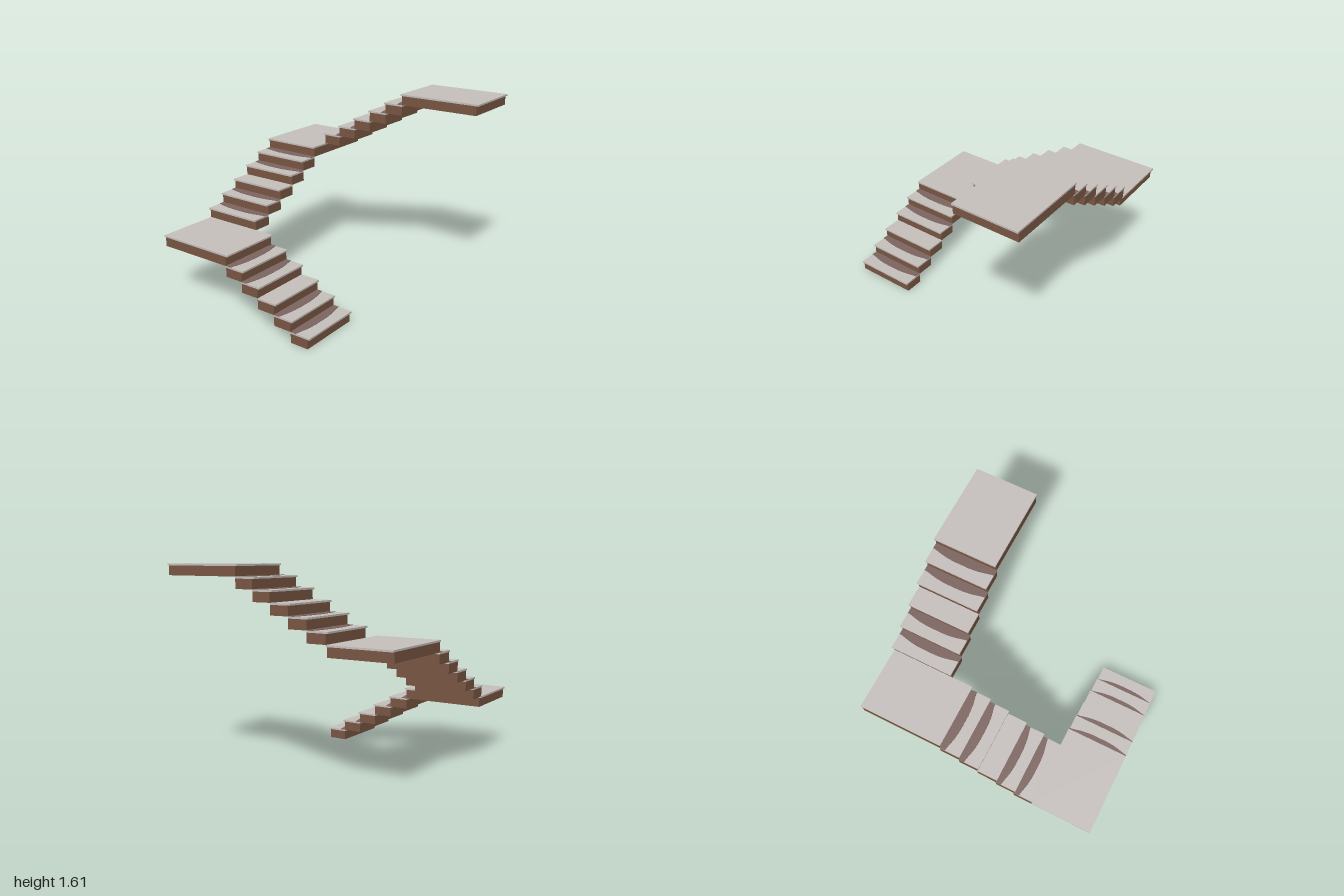
import * as THREE from 'three';

const WIDTH = 0.525, CENTER_X = -0.7375;
const RISE = 0.0895, RUN = 0.158, START = 0.475;
const SLAB = 0.014, NOSE = 0.016, STEPS = 5;

export function createModel() {
  const wood = new THREE.MeshStandardMaterial({ color: 0x7a5743 });
  wood.name = 'brown wood';
  const stone = new THREE.MeshStandardMaterial({ color: 0xc8c2bf });
  stone.name = 'pale grey tread';
  const stain = new THREE.MeshStandardMaterial({ color: 0x7e6661 });
  stain.name = 'mauve brown patch';

  // box spanning the flight's width between two heights and two depths
  function slab(name, material, y0, y1, zBack, zFront) {
    const mesh = new THREE.Mesh(new THREE.BoxGeometry(WIDTH, y1 - y0, zFront - zBack), material);
    mesh.position.set(CENTER_X, (y0 + y1) / 2, (zBack + zFront) / 2);
    mesh.name = name;
    return mesh;
  }

  // thin patch with a bowed front edge, lying at the back of a tread
  const w = WIDTH / 2;
  const outline = new THREE.Shape();
  outline.moveTo(-w, 0);
  outline.lineTo(-w, -0.048);
  outline.bezierCurveTo(-w + 0.06, -0.056, -w + 0.09, -0.075, -0.06, -0.08);
  outline.lineTo(0.06, -0.08);
  outline.bezierCurveTo(w - 0.09, -0.075, w - 0.06, -0.056, w, -0.048);
  outline.lineTo(w, 0);
  outline.closePath();
  const patchGeometry = new THREE.ExtrudeGeometry(outline, { depth: 0.003, bevelEnabled: false, curveSegments: 8 });
  patchGeometry.rotateX(-Math.PI / 2);

  // five steps climbing towards -z, ending in a square landing
  function flight() {
    const group = new THREE.Group();
    for (let i = 0; i < STEPS; i++) {
      const y = i * RISE, top = y + RISE;
      const front = START - i * RUN, back = front - RUN;
      group.add(slab('stepBlock', wood, y, top - SLAB, back, front));
      group.add(slab('tread', stone, top - SLAB, top, back, front + NOSE));
      if (i !== 2) {
        const patch = new THREE.Mesh(patchGeometry, stain);
        patch.position.set(CENTER_X, top, back);
        patch.name = 'treadPatch';
        group.add(patch);
      }
    }
    const y = STEPS * RISE, top = y + RISE, front = START - STEPS * RUN;
    group.add(slab('landingBlock', wood, y, top - SLAB, -0.984, front));
    group.add(slab('landingTop', stone, top - SLAB, top, -1, front + NOSE));
    return group;
  }

  // three flights, each a quarter turn on and one flight higher
  const model = new THREE.Group();
  model.name = 'staircase';
  ['lowerFlight', 'middleFlight', 'upperFlight'].forEach((name, i) => {
    const group = flight();
    group.name = name;
    group.rotation.y = -i * Math.PI / 2;
    group.position.y = i * (STEPS + 1) * RISE;
    model.add(group);
  });
  return model;
}
